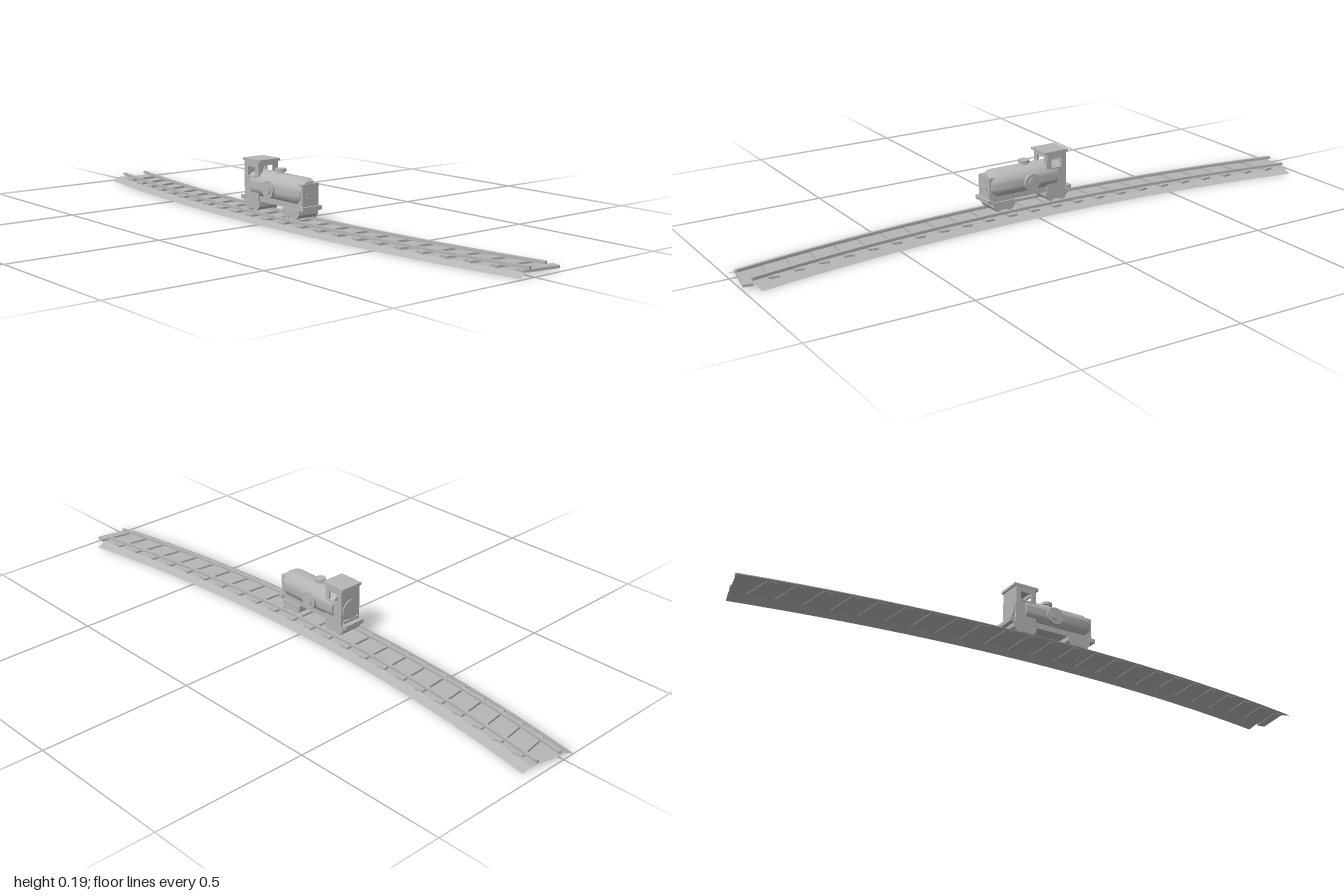
import * as THREE from 'three';
import { toCreasedNormals } from 'three/addons/utils/BufferGeometryUtils.js';

export function createModel() {
  const model = new THREE.Group();
  const grey = new THREE.MeshStandardMaterial({ color: 0xb6b6b6, side: THREE.DoubleSide });
  grey.name = 'plainGrey';

  const R = 5.4, A = 0.1822, MID = -0.045, ZOFF = -0.005;

  function add(parent, name, geo, x = 0, y = 0, z = 0) {
    const mesh = new THREE.Mesh(geo, grey);
    mesh.name = name;
    mesh.position.set(x, y, z);
    parent.add(mesh);
    return mesh;
  }
  const box = (parent, name, w, y0, y1, z0, z1, x = 0) =>
    add(parent, name, new THREE.BoxGeometry(w, y1 - y0, z1 - z0), x, (y0 + y1) / 2, (z0 + z1) / 2);

  // Point on the curved track: sideways offset o, angle t
  const trackPoint = (o, t) => [MID + R - (R - o) * Math.cos(t), ZOFF + (R - o) * Math.sin(t)];

  // Bend a geometry whose z runs from -0.5 to 0.5 along the track
  function bend(geo) {
    const p = geo.attributes.position;
    for (let i = 0; i < p.count; i++) {
      const [x, z] = trackPoint(p.getX(i), p.getZ(i) * 2 * A);
      p.setXYZ(i, x, p.getY(i), z);
    }
    geo.computeVertexNormals();
    return geo;
  }

  // Track: open embankment, sleepers and two rails
  const track = new THREE.Group();
  track.name = 'track';
  model.add(track);

  const section = [[-0.09, 0], [-0.059, 0.011], [0.059, 0.011], [0.09, 0]];
  const bed = new THREE.PlaneGeometry(3, 1, 3, 32).rotateX(-Math.PI / 2);
  const bp = bed.attributes.position;
  for (let i = 0; i < bp.count; i++) {
    const [o, y] = section[Math.round(bp.getX(i) + 1.5)];
    bp.setX(i, o);
    bp.setY(i, y);
  }
  add(track, 'embankment', toCreasedNormals(bend(bed), 0.2));

  const sleepers = 24;
  for (let i = 0; i < sleepers; i++) {
    const t = A - (i * 2 * A) / sleepers;
    const [x, z] = trackPoint(0, t);
    add(track, 'sleeper', new THREE.BoxGeometry(0.121, 0.008, 0.03), x, 0.0135, z).rotation.y = -t;
  }
  for (const s of [-1, 1]) {
    const rail = new THREE.BoxGeometry(0.009, 0.009, 1, 1, 1, 32).translate(s * 0.04, 0.0215, 0);
    add(track, 'rail', bend(rail));
  }

  // Locomotive
  const loco = new THREE.Group();
  loco.name = 'locomotive';
  loco.position.x = MID;
  model.add(loco);

  // Boiler with a tapered front, running through the cab
  const profile = [[0, -0.138], [0.034, -0.138], [0.034, -0.1], [0.046, -0.1], [0.046, 0.118], [0.035, 0.14], [0, 0.14]]
    .map(([r, z]) => new THREE.Vector2(r, z));
  const boiler = new THREE.LatheGeometry(profile, 32).rotateX(Math.PI / 2);
  add(loco, 'boiler', toCreasedNormals(boiler, 0.5), 0, 0.109, 0);

  // Front plate
  box(loco, 'frontBox', 0.064, 0.058, 0.138, 0.105, 0.146);
  box(loco, 'frontPlate', 0.037, 0.095, 0.108, 0.146, 0.149);

  // Frame, buffers, bogies and wheels
  box(loco, 'frame', 0.064, 0.058, 0.078, -0.14, 0.14);
  for (const s of [-1, 1]) {
    box(loco, 'bufferBeam', 0.076, 0.056, 0.069, s * 0.146 - 0.009, s * 0.146 + 0.009);
    const zc = s > 0 ? 0.096 : -0.1;
    const side = new THREE.Shape([[-0.04, 0.058], [-0.04, 0.042], [-0.031, 0.031], [0.031, 0.031], [0.04, 0.042], [0.04, 0.058]]
      .map(([a, b]) => new THREE.Vector2(a, b)));
    const bogie = new THREE.ExtrudeGeometry(side, { depth: 0.076, bevelEnabled: false })
      .translate(0, 0, -0.038).rotateY(Math.PI / 2);
    add(loco, 'bogie', bogie, 0, 0, zc);
    for (const x of [-0.034, 0.034]) for (const dz of [-0.021, 0.021]) {
      const wheel = new THREE.CylinderGeometry(0.014, 0.014, 0.007, 16).rotateZ(Math.PI / 2);
      add(loco, 'wheel', wheel, x, 0.04, zc + dz);
    }
  }

  // Round side discs
  for (const s of [-1, 1]) {
    const rim = new THREE.CylinderGeometry(0.028, 0.028, 0.008, 24).rotateZ(Math.PI / 2);
    add(loco, 'sideDisc', rim, s * 0.049, 0.106, 0);
    const hub = new THREE.CylinderGeometry(0.016, 0.016, 0.016, 20).rotateZ(Math.PI / 2);
    add(loco, 'sideHub', hub, s * 0.049, 0.106, 0);
  }

  // Short funnel
  add(loco, 'funnel', new THREE.CylinderGeometry(0.012, 0.012, 0.022, 20), 0, 0.157, 0);
  add(loco, 'funnelCap', new THREE.CylinderGeometry(0.018, 0.018, 0.009, 20), 0, 0.1635, 0);

  // Cab: side walls with windows, end walls, window ledges and roof
  const rect = (C, z0, z1, y0, y1) => new C([[z0, y0], [z1, y0], [z1, y1], [z0, y1]]
    .map(([a, b]) => new THREE.Vector2(a, b)));
  for (const s of [-1, 1]) {
    const wall = rect(THREE.Shape, 0.063, 0.134, 0.058, 0.183);
    wall.holes.push(rect(THREE.Path, 0.08, 0.117, 0.136, 0.165));
    const geo = new THREE.ExtrudeGeometry(wall, { depth: 0.005, bevelEnabled: false })
      .translate(0, 0, -0.0025).rotateY(Math.PI / 2);
    add(loco, 'cabSide', geo, s * 0.0365, 0, 0);
    box(loco, 'windowLedge', 0.004, 0.132, 0.137, -0.12, -0.077, s * 0.04);
  }
  box(loco, 'cabBack', 0.074, 0.058, 0.183, -0.134, -0.129);
  const front = rect(THREE.Shape, -0.037, 0.037, 0.058, 0.183);
  front.holes.push(rect(THREE.Path, -0.02, 0.02, 0.148, 0.17));
  add(loco, 'cabFront', new THREE.ExtrudeGeometry(front, { depth: 0.005, bevelEnabled: false }), 0, 0, -0.068);
  box(loco, 'cabRoof', 0.081, 0.182, 0.19, -0.14, -0.054);

  return model;
}
